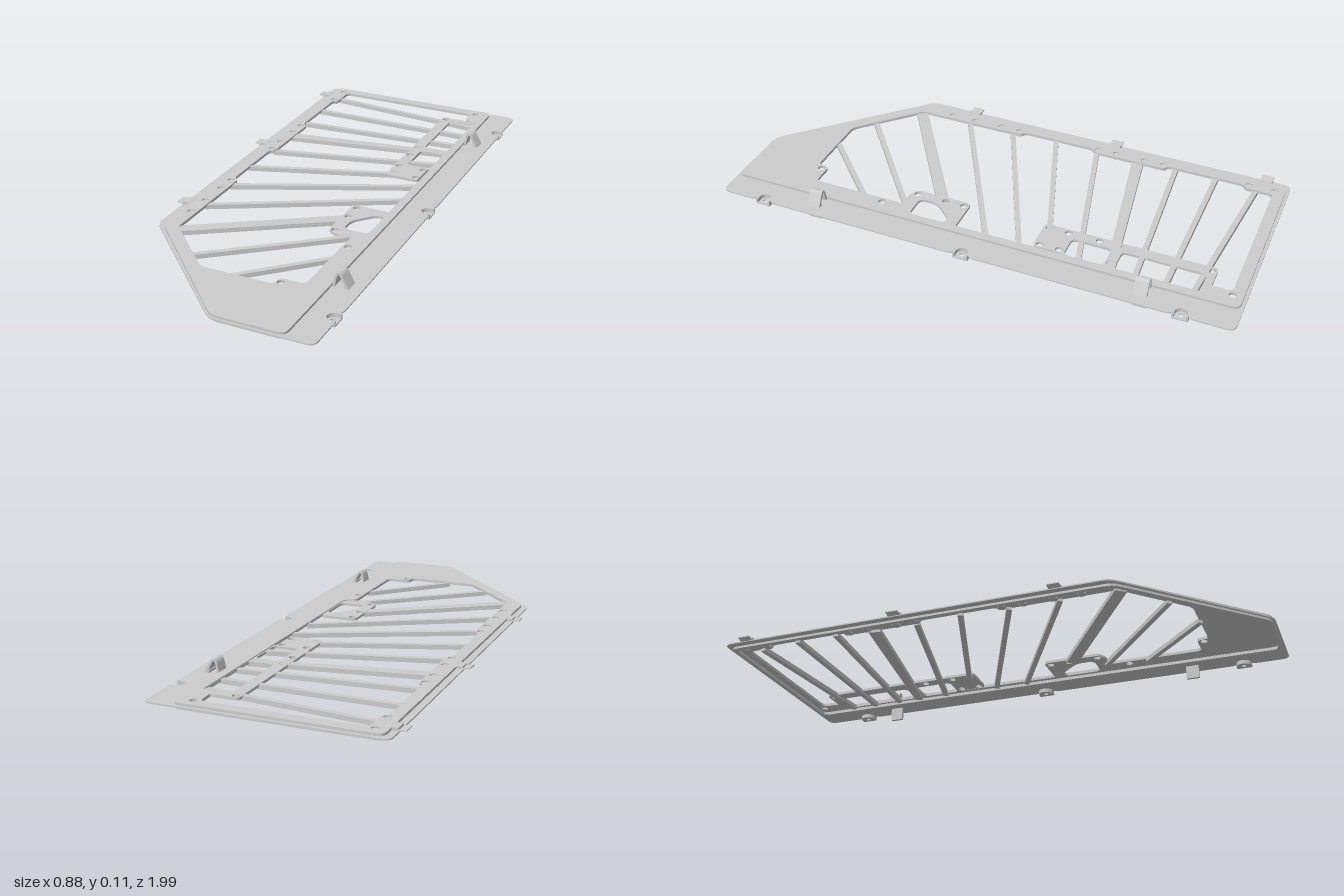
import * as THREE from 'three';

const material = new THREE.MeshStandardMaterial({ color: 0xcccccc, side: THREE.DoubleSide });

// Closed outline in the ground plane (x, z) with softened corners
function rounded(points, r, Type = THREE.Shape) {
  const path = new Type();
  const v = points.map(([x, z]) => new THREE.Vector2(x, z));
  v.forEach((p, i) => {
    const toward = (q) => p.clone().lerp(q, Math.min(0.48, r / p.distanceTo(q)));
    const a = toward(v[(i + v.length - 1) % v.length]);
    const b = toward(v[(i + 1) % v.length]);
    if (i === 0) path.moveTo(a.x, a.y);
    else path.lineTo(a.x, a.y);
    path.quadraticCurveTo(p.x, p.y, b.x, b.y);
  });
  path.closePath();
  return path;
}

const rect = (x0, z0, x1, z1) => [[x0, z0], [x1, z0], [x1, z1], [x0, z1]];
const circle = (x, z, r) => new THREE.Path().absarc(x, z, r, 0, Math.PI * 2, true);

export function createModel() {
  const model = new THREE.Group();

  function add(name, geometry) {
    const mesh = new THREE.Mesh(geometry, material);
    mesh.name = name;
    model.add(mesh);
    return mesh;
  }

  // Flat part cut from an (x, z) shape between two heights
  function slab(name, shape, bottom, top, holes = []) {
    shape.holes.push(...holes);
    const g = new THREE.ExtrudeGeometry(shape, { depth: top - bottom, bevelEnabled: false, curveSegments: 6 });
    g.rotateX(Math.PI / 2).translate(0, top, 0);
    return add(name, g);
  }

  // Upright part cut from an (x, y) profile, centred on z
  function upright(name, shape, width, z) {
    const g = new THREE.ExtrudeGeometry(shape, { depth: width, bevelEnabled: false, curveSegments: 10 });
    return add(name, g.translate(0, 0, z - width / 2));
  }

  const outer = [[-0.42, -1], [0.44, -1], [0.44, 0.99], [0.07, 0.99], [-0.42, 0.51]];
  const panel = [[-0.395, -0.988], [0.337, -0.988], [0.337, 0.982], [0.072, 0.982], [-0.395, 0.515]];
  const rimInside = [[-0.378, -0.972], [0.322, -0.972], [0.322, 0.966], [0.08, 0.966], [-0.378, 0.508]];
  const cupZ = [-0.81, 0, 0.815];

  // Thin surrounding flange, notched on the left for the screw cups
  const notched = [outer[0], outer[1]];
  for (const z of cupZ) {
    notched.push([0.44, z - 0.026], [0.395, z - 0.026], [0.395, z + 0.026], [0.44, z + 0.026]);
  }
  notched.push(...outer.slice(2));
  slab('flange', rounded(notched, 0.03), 0.052, 0.057, [rounded(panel, 0.03, THREE.Path)]);

  // Raised panel with the large grille opening
  const opening = [
    [-0.33, -0.945], [0.26, -0.945], [0.26, -0.87], [0.305, -0.85],
    [0.305, 0.3], [0.26, 0.32], [0.26, 0.685], [0.165, 0.685], [0.165, 0.73],
    [-0.11, 0.73], [-0.33, 0.515], [-0.33, 0.08], [-0.35, 0.07], [-0.35, -0.22],
    [-0.33, -0.23], [-0.33, -0.52], [-0.35, -0.53], [-0.35, -0.83], [-0.33, -0.84],
  ];
  const bossZ = [-0.95, -0.85, -0.51, -0.435, -0.317, -0.243, 0.095, 0.175, 0.29, 0.392];
  slab('panel', rounded(panel, 0.03), 0.055, 0.066, [
    rounded(opening, 0.02, THREE.Path),
    ...bossZ.map((z) => circle(-0.352, z, 0.014)),
    circle(0.28, -0.95, 0.014), circle(0.28, 0.392, 0.014),
    circle(0.182, 0.708, 0.014),
  ]);
  bossZ.forEach((z) => {
    add('screwBoss', new THREE.CylinderGeometry(0.016, 0.016, 0.012, 16).translate(-0.352, 0.055, z));
  });

  // Skirt under the panel edge
  slab('skirt', rounded(panel, 0.03), 0.043, 0.056, [rounded(rimInside, 0.025, THREE.Path)]);

  // Rear mounting plate with windows and screw holes
  slab('rearMountingPlate', rounded([
    [0.16, -0.87], [0.31, -0.87], [0.31, -0.34], [0.295, -0.33], [0.295, -0.22], [0.16, -0.22],
  ], 0.015), 0.052, 0.062, [
    rounded(rect(0.205, -0.84, 0.304, -0.53), 0.02, THREE.Path),
    rounded(rect(0.205, -0.49, 0.3, -0.34), 0.02, THREE.Path),
    ...[[0.18, -0.85], [0.18, -0.51], [0.28, -0.51], [0.18, -0.435], [0.18, -0.317],
      [0.28, -0.317], [0.18, -0.243], [0.28, -0.243]].map(([x, z]) => circle(x, z, 0.014)),
  ]);

  // Front mounting plate
  slab('frontMountingPlate', rounded([
    [0.16, 0.08], [0.31, 0.08], [0.31, 0.32], [0.2, 0.32], [0.16, 0.3],
  ], 0.02), 0.052, 0.062, [
    rounded([[0.205, 0.2], [0.27, 0.125], [0.302, 0.125], [0.302, 0.27], [0.205, 0.27]], 0.025, THREE.Path),
    ...[0.1, 0.175, 0.29].map((z) => circle(0.182, z, 0.014)),
  ]);

  // Fanned grille bars: start x, z, end x, z, start width, end width
  const bars = [
    [-0.34, -0.88, 0.31, -0.82], [-0.36, -0.72, 0.31, -0.72], [-0.36, -0.56, 0.31, -0.61],
    [-0.34, -0.41, 0.31, -0.52, 0.045, 0.032], [-0.34, -0.24, 0.31, -0.4],
    [-0.36, -0.06, 0.2, -0.25], [-0.34, 0.12, 0.31, -0.175], [-0.34, 0.31, 0.31, -0.045],
    [-0.34, 0.53, 0.175, 0.19, 0.045, 0.045], [-0.19, 0.665, 0.25, 0.31], [0, 0.735, 0.27, 0.47],
  ];
  for (const [x0, z0, x1, z1, w0 = 0.02, w1 = 0.02] of bars) {
    const length = Math.hypot(x1 - x0, z1 - z0);
    const nx = -(z1 - z0) / length / 2;
    const nz = (x1 - x0) / length / 2;
    const corners = [
      [x0 - nx * w0, z0 - nz * w0], [x1 - nx * w1, z1 - nz * w1],
      [x1 + nx * w1, z1 + nz * w1], [x0 + nx * w0, z0 + nz * w0],
    ];
    slab('grilleBar', rounded(corners, 0.001), 0.044, 0.061);
  }

  // Recessed screw cups along the left edge
  const cupShape = (z, r, Type) => {
    const s = new Type();
    s.moveTo(0.44, z - r);
    s.lineTo(0.422, z - r);
    s.absarc(0.422, z, r, -Math.PI / 2, Math.PI / 2, true);
    s.lineTo(0.44, z + r);
    s.closePath();
    return s;
  };
  for (const z of cupZ) {
    slab('screwCupFloor', cupShape(z, 0.027, THREE.Shape), 0.037, 0.042, [circle(0.42, z, 0.009)]);
    const wall = new THREE.Shape();
    wall.moveTo(0.44, z - 0.029);
    wall.lineTo(0.422, z - 0.029);
    wall.absarc(0.422, z, 0.029, -Math.PI / 2, Math.PI / 2, true);
    wall.lineTo(0.44, z + 0.029);
    wall.lineTo(0.44, z + 0.022);
    wall.lineTo(0.422, z + 0.022);
    wall.absarc(0.422, z, 0.022, Math.PI / 2, -Math.PI / 2, false);
    wall.lineTo(0.44, z - 0.022);
    wall.closePath();
    slab('screwCupWall', wall, 0.037, 0.057);
  }

  // Sprung hooks standing on the left flange, each with a leg below
  const hook = new THREE.Shape();
  hook.moveTo(0.336, 0.05);
  hook.lineTo(0.346, 0.095);
  hook.bezierCurveTo(0.351, 0.114, 0.366, 0.114, 0.374, 0.1);
  hook.lineTo(0.398, 0.057);
  hook.lineTo(0.39, 0.053);
  hook.lineTo(0.366, 0.095);
  hook.bezierCurveTo(0.361, 0.104, 0.356, 0.104, 0.354, 0.093);
  hook.lineTo(0.345, 0.05);
  hook.closePath();
  for (const z of [-0.655, 0.62]) {
    upright('springHook', hook, 0.05, z);
    add('hookLeg', new THREE.BoxGeometry(0.011, 0.066, 0.05).translate(0.384, 0.033, z));
  }

  // Stepped clip tabs on the right edge
  const tab = new THREE.Shape([
    [-0.445, 0.059], [-0.43, 0.059], [-0.425, 0.055], [-0.395, 0.055], [-0.395, 0.067],
    [-0.418, 0.067], [-0.418, 0.06], [-0.43, 0.063], [-0.445, 0.063],
  ].map(([x, y]) => new THREE.Vector2(x, y)));
  for (const z of [-0.905, -0.295, 0.315]) upright('clipTab', tab, 0.045, z);

  return model;
}
